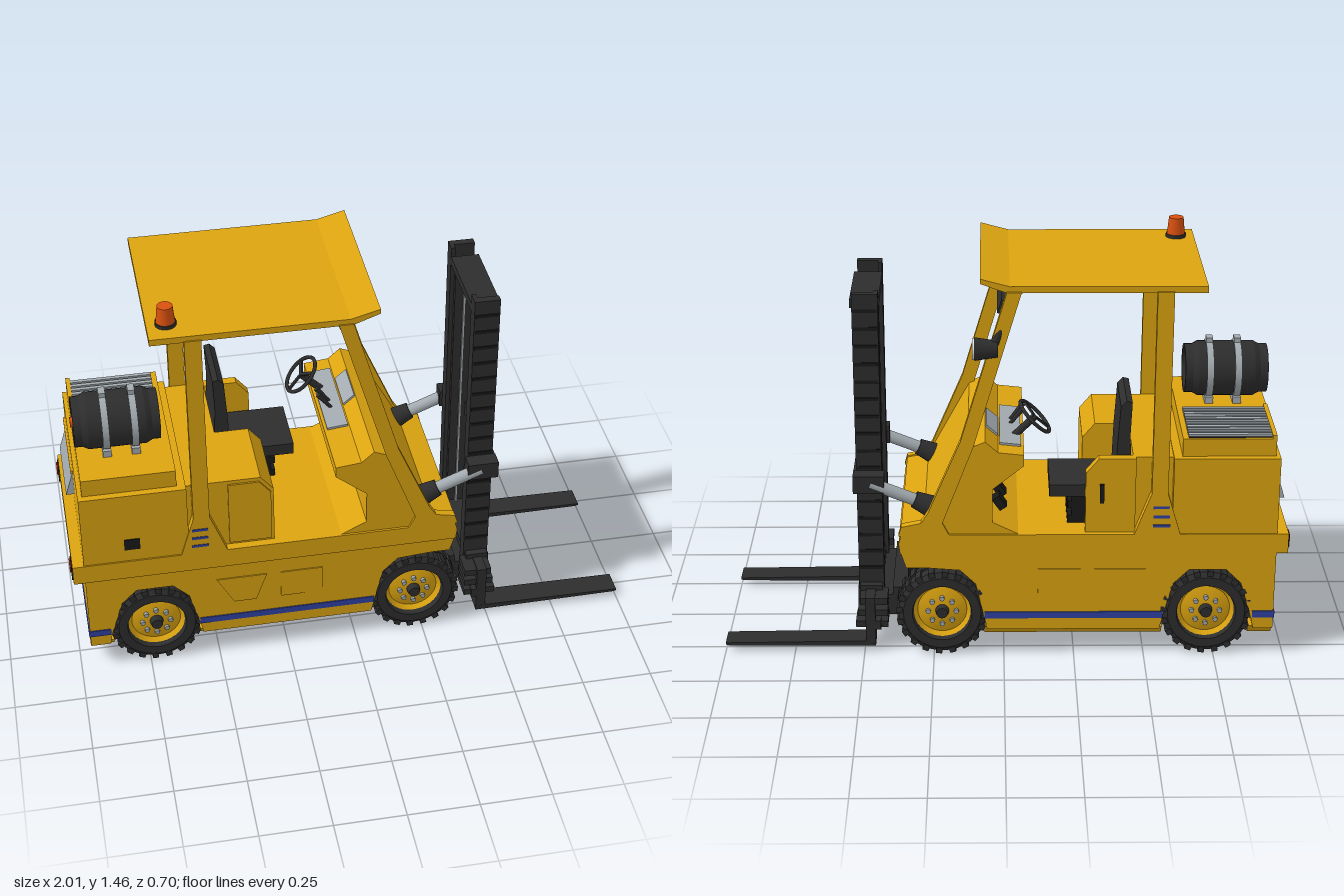
import * as THREE from 'three';
import { toCreasedNormals } from 'three/addons/utils/BufferGeometryUtils.js';

const paint = (name, color) => Object.assign(new THREE.MeshStandardMaterial({ color }), { name });

export function createModel() {
  const yellow = paint('body yellow', 0xdca410), dark = paint('dark rubber and steel', 0x2d2d2d);
  const black = paint('black', 0x191919), grey = paint('steel grey', 0xa3abb0);
  const blue = paint('stripe blue', 0x3042a4), orange = paint('beacon orange', 0xd9500f);
  const red = paint('tail red', 0xb02015), white = paint('lamp white', 0xe4e4e4);
  const root = new THREE.Group();
  root.name = 'forklift';

  const add = (name, geo, mat, parent = root) => {
    const m = new THREE.Mesh(geo, mat);
    m.name = name;
    parent.add(m);
    return m;
  };
  // box from its limits along x, y, z
  const box = (name, mat, x0, x1, y0, y1, z0, z1, parent) => {
    const m = add(name, new THREE.BoxGeometry(x1 - x0, y1 - y0, z1 - z0), mat, parent);
    m.position.set((x0 + x1) / 2, (y0 + y1) / 2, (z0 + z1) / 2);
    return m;
  };
  // side profile (x, y) extruded from z0 to z1
  const slab = (name, mat, pts, z0, z1) => {
    const s = new THREE.Shape(pts.map(p => new THREE.Vector2(...p)));
    const g = new THREE.ExtrudeGeometry(s, { depth: z1 - z0, bevelEnabled: false });
    return add(name, g.translate(0, 0, z0), mat);
  };
  // cylinder or cone between two points
  const rod = (name, mat, a, b, r0, r1 = r0, sides = 20) => {
    const A = new THREE.Vector3(...a), B = new THREE.Vector3(...b), d = B.clone().sub(A);
    const m = add(name, new THREE.CylinderGeometry(r1, r0, d.length(), sides), mat);
    m.position.copy(A).add(B).multiplyScalar(0.5);
    m.quaternion.setFromUnitVectors(new THREE.Vector3(0, 1, 0), d.normalize());
    return m;
  };
  const lathe = (pts, n = 32) => toCreasedNormals(
    new THREE.LatheGeometry(pts.map(p => new THREE.Vector2(...p)), n).rotateX(Math.PI / 2), 0.5);
  const L = 0.345, R = -0.31;

  // chassis with wheel arches, belt and underside
  slab('chassis', yellow, [
    [-0.96, 0.41], [-0.96, 0.10], [-0.89, 0.10], [-0.88, 0.15], [-0.84, 0.28], [-0.785, 0.335], [-0.655, 0.335],
    [-0.60, 0.28], [-0.565, 0.15], [-0.555, 0.10], [0.06, 0.10], [0.07, 0.15], [0.10, 0.28], [0.155, 0.335],
    [0.28, 0.345], [0.345, 0.345], [0.365, 0.41]], R + 0.004, L - 0.004);
  slab('belt', yellow, [[-1, 0.40], [0.365, 0.40], [0.37, 0.44], [0.36, 0.475], [-1, 0.475]], R, L);
  for (const [x0, x1] of [[-0.96, -0.875], [-0.565, 0.07]]) {
    const s = new THREE.Shape([[-0.305, 0.1], [-0.28, 0.065], [0.28, 0.065], [0.305, 0.1]].map(p => new THREE.Vector2(...p)));
    const g = new THREE.ExtrudeGeometry(s, { depth: x1 - x0, bevelEnabled: false });
    add('underside', g.rotateY(Math.PI / 2).translate(x0, 0, 0.017), yellow);
  }
  for (const [z0, z1] of [[L - 0.006, L], [R, R + 0.006]]) {
    box('sideStripe', blue, -0.963, -0.885, 0.145, 0.17, z0, z1);
    box('sideStripe', blue, -0.565, 0.07, 0.145, 0.17, z0, z1);
    slab('sidePanel', yellow, [[-0.50, 0.34], [-0.32, 0.34], [-0.36, 0.23], [-0.44, 0.23]], z0, z1);
    box('sidePanel', yellow, -0.27, -0.12, 0.23, 0.34, z0, z1);
  }
  box('rearStripe', blue, -0.964, -0.958, 0.145, 0.17, R, L);

  // rear hood, hatch, grille
  box('rearHood', yellow, -0.96, -0.59, 0.47, 0.76, R + 0.005, L - 0.005);
  box('hoodTop', yellow, -0.945, -0.62, 0.755, 0.825, R + 0.03, L - 0.03);
  box('grilleBed', dark, -0.93, -0.64, 0.825, 0.828, -0.27, 0.0);
  for (let i = 0; i < 11; i++) box('grilleSlat', grey, -0.93, -0.64, 0.826, 0.836, -0.265 + i * 0.024, -0.25 + i * 0.024);
  box('grilleRim', yellow, -0.945, -0.93, 0.82, 0.838, -0.28, 0.01);
  slab('rearHatch', grey, [[-0.99, 0.575], [-0.958, 0.575], [-0.958, 0.68]], -0.22, 0.06);
  box('hatchFrame', yellow, -0.968, -0.955, 0.68, 0.695, -0.24, 0.08);
  box('sideCap', black, -0.815, -0.76, 0.525, 0.57, L - 0.01, L - 0.002);
  box('rearLatch', grey, -0.968, -0.958, 0.28, 0.33, 0.0, 0.035);
  for (const z of [0.265, -0.295]) {
    box('tailHousing', black, -1.004, -0.998, 0.41, 0.465, z, z + 0.065);
    box('tailLamp', red, -1.008, -1.002, 0.437, 0.46, z + 0.008, z + 0.057);
    box('reverseLamp', white, -1.008, -1.002, 0.415, 0.434, z + 0.008, z + 0.03);
  }

  // gas tank on its cradle
  const tz = 0.12, ty = 0.935;
  const tank = add('gasTank', lathe([[0, -0.13], [0.07, -0.13], [0.075, -0.148], [0.088, -0.148], [0.088, -0.12], [0.099, -0.10],
    [0.099, 0.1], [0.088, 0.12], [0.088, 0.148], [0.075, 0.148], [0.07, 0.13], [0, 0.13]]), dark);
  tank.rotation.y = Math.PI / 2;
  tank.position.set(-0.8, ty, tz);
  for (const x of [-0.84, -0.74]) {
    rod('tankBand', grey, [x - 0.012, ty, tz], [x + 0.012, ty, tz], 0.105, 0.105, 32);
    box('bandBuckle', grey, x - 0.012, x + 0.012, 1.03, 1.055, tz - 0.02, tz + 0.02);
    box('tankCradle', grey, x - 0.015, x + 0.015, 0.82, 0.85, tz - 0.075, tz + 0.075);
  }
  rod('tankValve', orange, [-0.955, ty, tz], [-0.92, ty, tz], 0.018);

  // cab: roof, pillars, beacon
  slab('roof', yellow, [[-0.685, 1.365], [-0.01, 1.365], [0.08, 1.398], [0.08, 1.415], [-0.02, 1.388], [-0.685, 1.388]], -0.3, 0.34);
  for (const [z0, z1] of [[L - 0.028, L], [R, R + 0.032]]) {
    slab('rearPillar', yellow, [[-0.62, 0.47], [-0.455, 0.47], [-0.515, 0.63], [-0.515, 1.37], [-0.572, 1.37], [-0.572, 0.63]], z0, z1);
    slab('frontPillar', yellow, [[0.19, 0.47], [0.37, 0.47], [0.36, 0.505], [0.29, 0.52], [0.265, 0.56], [0.15, 0.83],
      [-0.01, 1.37], [-0.06, 1.37], [0.105, 0.81], [0.215, 0.52]], z0, z1);
    for (let i = 0; i < 3; i++) box('pillarVent', blue, -0.578 - i * 0.002, -0.522, 0.573 - i * 0.035, 0.583 - i * 0.035, z0 - 0.002, z1 + 0.002);
  }
  rod('beaconBase', dark, [-0.62, 1.385, 0.255], [-0.62, 1.4, 0.255], 0.036);
  rod('beacon', orange, [-0.62, 1.4, 0.255], [-0.62, 1.46, 0.255], 0.032, 0.026);

  // dashboard cowl
  slab('cowl', yellow, [[-0.06, 0.47], [0.36, 0.47], [0.36, 0.5], [0.28, 0.515], [0.125, 0.80], [0.065, 0.825], [0.02, 0.785],
    [-0.07, 0.775], [-0.07, 0.735], [0.04, 0.645], [0.04, 0.52]], R + 0.008, L - 0.008);
  box('instrumentPanel', grey, -0.06, 0.015, 0.781, 0.789, -0.23, 0.12).rotation.z = 0.11;
  const dial = box('gaugePlate', grey, 0.015, 0.068, 0.806, 0.813, -0.16, 0.0);
  dial.rotation.z = 0.72;
  rod('steeringColumn', dark, [-0.02, 0.76, -0.13], [-0.11, 0.85, -0.13], 0.013);
  const wheel = new THREE.Group();
  wheel.name = 'steeringWheel';
  add('wheelRim', new THREE.TorusGeometry(0.072, 0.007, 8, 32), dark, wheel);
  for (let i = 0; i < 3; i++) {
    const spoke = add('wheelSpoke', new THREE.BoxGeometry(0.07, 0.012, 0.007).translate(0.035, 0, 0), dark, wheel);
    spoke.rotation.z = i * Math.PI * 2 / 3;
  }
  wheel.position.set(-0.11, 0.85, -0.13);
  wheel.quaternion.setFromUnitVectors(new THREE.Vector3(0, 0, 1), new THREE.Vector3(-0.707, 0.707, 0));
  root.add(wheel);
  for (const z of [-0.04, 0.0]) rod('lever', dark, [-0.02, 0.78, z], [-0.07, 0.845, z], 0.006, 0.01, 8);
  for (const z of [-0.2, -0.09]) box('pedal', black, 0.0, 0.03, 0.52, 0.57, z, z + 0.05).rotation.z = -0.6;

  // seat and consoles
  const side = [[-0.46, 0.47], [-0.285, 0.47], [-0.285, 0.70], [-0.33, 0.755], [-0.46, 0.755]];
  slab('console', yellow, side, 0.03, 0.315);
  slab('consoleDoor', yellow, [[-0.445, 0.485], [-0.295, 0.485], [-0.295, 0.69], [-0.335, 0.74], [-0.445, 0.74]], 0.312, 0.321);
  slab('console', yellow, side, -0.29, -0.255);
  box('consoleHandle', black, -0.35, -0.335, 0.59, 0.66, -0.298, -0.29);
  box('rearBulkhead', yellow, -0.6, -0.45, 0.47, 0.755, -0.275, 0.315);
  box('seatBase', yellow, -0.46, -0.30, 0.47, 0.59, -0.256, 0.03);
  for (let i = 0; i < 4; i++) box('seatBellows', black, -0.3, -0.225 - (i % 2) * 0.015, 0.475 + i * 0.028, 0.503 + i * 0.028, -0.21, -0.04);
  box('seatCushion', dark, -0.43, -0.16, 0.59, 0.635, -0.24, -0.01);
  slab('seatBack', dark, [[-0.45, 0.63], [-0.39, 0.63], [-0.395, 0.78], [-0.405, 0.93], [-0.425, 0.95], [-0.445, 0.945], [-0.44, 0.82]], -0.24, -0.01);

  // rear-view mirror and work lamp
  box('mirrorStem', dark, -0.015, 0.005, 1.27, 1.37, 0.005, 0.035);
  box('mirror', dark, -0.025, 0.015, 1.215, 1.265, -0.095, 0.135).rotation.z = 0.3;
  rod('lampArm', dark, [0.0, 1.26, -0.29], [0.04, 1.17, -0.31], 0.015);
  rod('lampHousing', dark, [0.02, 1.17, -0.31], [0.10, 1.17, -0.31], 0.028, 0.04);
  rod('lampLens', white, [0.10, 1.17, -0.31], [0.108, 1.17, -0.31], 0.037);

  // wheels and axles
  const tyreGeo = lathe([[0.1, -0.055], [0.138, -0.055], [0.156, -0.042], [0.156, 0.042], [0.138, 0.055], [0.106, 0.055], [0.1, 0.03]], 36);
  const rimGeo = lathe([[0.102, 0.036], [0.088, 0.02], [0.05, 0.032], [0, 0.032]]);
  const boltGeo = new THREE.CylinderGeometry(0.009, 0.009, 0.014, 8).rotateX(Math.PI / 2);
  const hubGeo = new THREE.CylinderGeometry(0.02, 0.026, 0.03, 16).rotateX(Math.PI / 2);
  const lugGeo = new THREE.BoxGeometry(0.022, 0.03, 0.052);
  for (const x of [-0.72, 0.22]) {
    for (const s of [1, -1]) {
      const w = new THREE.Group();
      w.name = 'wheel';
      add('tyre', tyreGeo, dark, w);
      add('rim', rimGeo, yellow, w);
      add('hub', hubGeo, dark, w).position.z = 0.04;
      add('backPlate', new THREE.CylinderGeometry(0.101, 0.101, 0.01, 24).rotateX(Math.PI / 2), dark, w).position.z = -0.045;
      for (let i = 0; i < 8; i++) {
        const a = i * Math.PI / 4;
        add('bolt', boltGeo, grey, w).position.set(Math.cos(a) * 0.05, Math.sin(a) * 0.05, 0.035);
      }
      for (let i = 0; i < 40; i++) {
        const a = (i + 0.5) * Math.PI / 20, lug = add('treadLug', lugGeo, dark, w);
        lug.position.set(Math.cos(a) * 0.148, Math.sin(a) * 0.148, i % 2 ? 0.026 : -0.026);
        lug.rotation.z = a - Math.PI / 2;
      }
      w.position.set(x, 0.165, s > 0 ? 0.289 : -0.254);
      if (s < 0) w.rotation.y = Math.PI;
      root.add(w);
    }
    rod('axle', dark, [x, 0.165, -0.22], [x, 0.165, 0.25], 0.035);
    box('axleHousing', dark, x - 0.09, x + 0.09, 0.10, 0.34, -0.1, 0.13);
  }
  box('frontFrame', dark, 0.29, 0.40, 0.09, 0.20, -0.17, 0.21);
  box('frontPlate', black, 0.29, 0.345, 0.20, 0.345, -0.17, 0.21);

  // mast: rails, ribs, chains and cross members, mirrored about z = 0.02
  const mz = 0.02;
  for (const s of [1, -1]) {
    const bar = (name, mat, x0, x1, y0, y1, a, b) =>
      box(name, mat, x0, x1, y0, y1, Math.min(mz + s * a, mz + s * b), Math.max(mz + s * a, mz + s * b));
    bar('outerRail', dark, 0.43, 0.52, 0.06, 1.32, 0.172, 0.2);
    bar('railFlange', dark, 0.43, 0.445, 0.06, 1.32, 0.15, 0.175);
    bar('innerRail', dark, 0.445, 0.51, 0.06, 1.24, 0.132, 0.15);
    bar('liftChain', grey, 0.475, 0.483, 0.2, 1.22, 0.121, 0.128);
    for (let i = 0; i < 16; i++) bar('railRib', black, 0.434, 0.516, 0.28 + i * 0.065, 0.292 + i * 0.065, 0.2, 0.203);
    bar('mastBracket', dark, 0.42, 0.53, 0.60, 0.665, 0.2, 0.255);
    // tilt cylinders
    const z = mz + s * 0.235;
    rod('tiltRod', grey, [0.28, 0.555, z], [0.47, 0.632, z], 0.022);
    rod('tiltBoot', dark, [0.24, 0.535, z], [0.315, 0.57, z], 0.042, 0.03);
    // fork with shank and hook
    bar('forkShank', dark, 0.46, 0.495, 0.02, 0.21, 0.215, 0.30);
    slab('fork', dark, [[0.46, 0.02], [0.99, 0.024], [1, 0.028], [1, 0.034], [0.48, 0.04]], mz + s * 0.2575 - 0.043, mz + s * 0.2575 + 0.043);
    for (let i = 0; i < 3; i++) bar('carriageTooth', dark, 0.415, 0.53 - i * 0.008, 0.09 + i * 0.045, 0.115 + i * 0.045, 0.2, 0.29);
    bar('carriageEnd', dark, 0.435, 0.515, 0.06, 0.225, 0.2, 0.225);
  }
  box('topCrossbar', dark, 0.43, 0.53, 1.255, 1.285, -0.13, 0.17);
  box('middleCrossbar', dark, 0.50, 0.53, 0.605, 0.66, -0.235, 0.275);
  box('carriagePlate', dark, 0.44, 0.525, 0.12, 0.20, -0.18, 0.22);
  box('carriageBar', dark, 0.44, 0.475, 0.085, 0.12, -0.28, 0.32);
  box('lowerCrossbar', dark, 0.43, 0.50, 0.035, 0.06, -0.085, 0.125);
  box('mastPivot', dark, 0.37, 0.44, 0.09, 0.17, -0.17, 0.21);
  return root;
}
